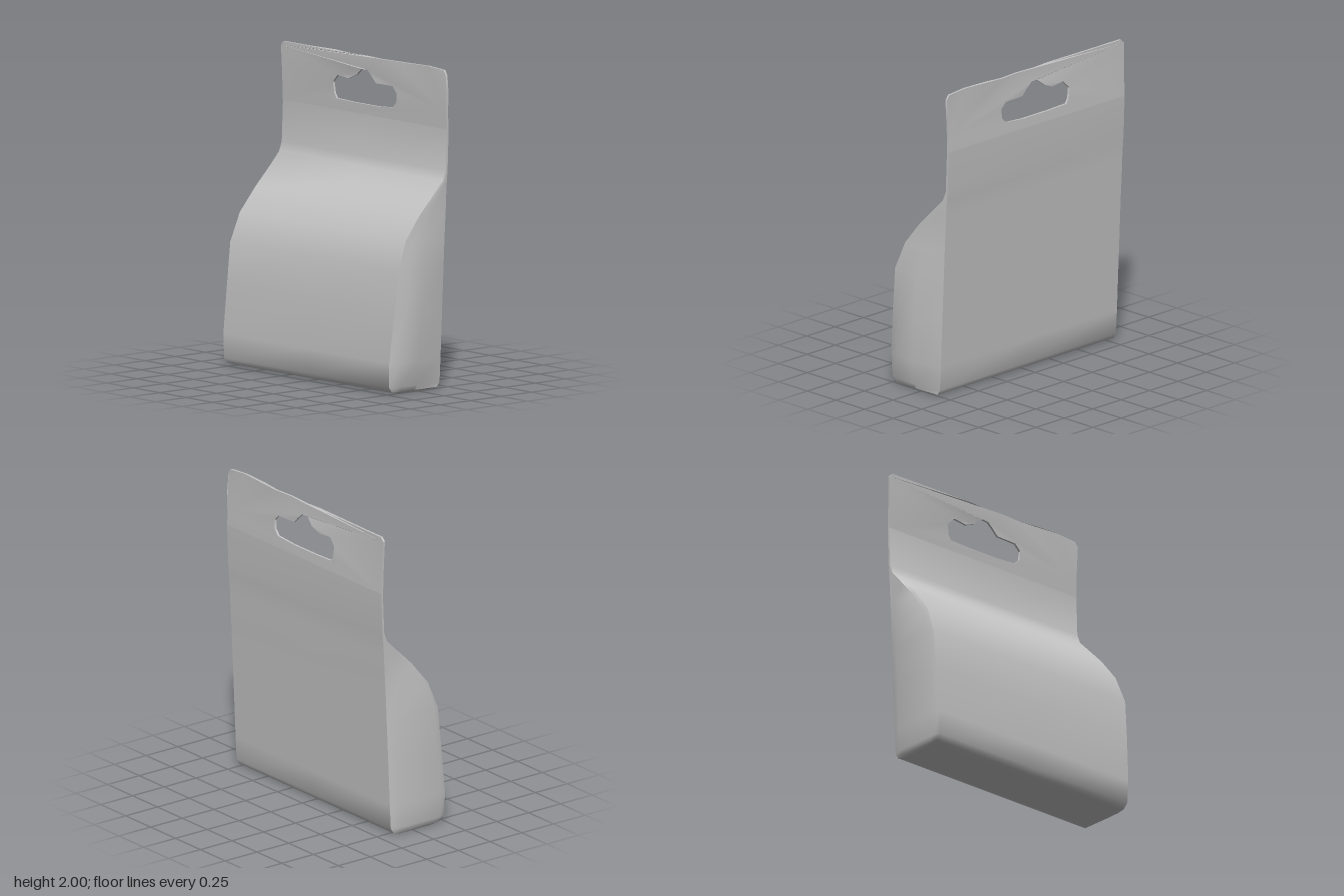
import * as THREE from 'three';
import { mergeVertices, toCreasedNormals } from 'three/addons/utils/BufferGeometryUtils.js';

const foil = new THREE.MeshStandardMaterial({ color: 0xc4c4c4, side: THREE.DoubleSide });
foil.name = 'silver grey foil';

// Filled pouch: a slab at the bottom that tapers into a flat sheet.
// Each level: y, back z, front z, left-hand x, right-hand x, right front corner x
const levels = [
  [0.00, -0.10, 0.17, -0.79, 0.74, 0.72],
  [0.012, -0.15, 0.215, -0.80, 0.765, 0.755],
  [0.045, -0.172, 0.243, -0.808, 0.778, 0.76],
  [0.20, -0.18, 0.247, -0.81, 0.80, 0.765],
  [0.50, -0.193, 0.218, -0.81, 0.803, 0.78],
  [0.77, -0.205, 0.19, -0.81, 0.80, 0.79],
  [0.95, -0.213, 0.12, -0.80, 0.778, 0.772],
  [1.10, -0.222, 0.00, -0.79, 0.767, 0.765],
  [1.20, -0.226, -0.10, -0.79, 0.765, 0.763],
  [1.30, -0.232, -0.20, -0.79, 0.762, 0.761],
  [1.36, -0.238, -0.223, -0.79, 0.76, 0.76],
  [1.62, -0.247, -0.233, -0.79, 0.76, 0.76],
];

function pouchGeometry() {
  const position = [], index = [];
  for (const [y, back, front, xl, xr, corner] of levels) {
    const z = t => back + (front - back) * t;
    const ring = [
      [Math.max(xl, -0.79), back], [0, back], [Math.min(xr, 0.76), back],
      [xr, z(0.5)], [xr, z(0.82)],
      [corner, front], [0, front], [xl + 0.01, front],
      [xl, z(0.9)], [xl, z(0.15)],
    ];
    for (const [x, zz] of ring) position.push(x, y, zz);
  }
  const n = 10;
  for (let k = 0; k < levels.length - 1; k++) {
    for (let i = 0; i < n; i++) {
      const a = k * n + i, b = k * n + (i + 1) % n;
      index.push(a, a + n, b, b, a + n, b + n);
    }
  }
  // Base
  const centre = position.length / 3;
  position.push(0, 0, 0.03);
  for (let i = 0; i < n; i++) index.push(centre, i, (i + 1) % n);
  const g = new THREE.BufferGeometry();
  g.setAttribute('position', new THREE.Float32BufferAttribute(position, 3));
  g.setIndex(index);
  return toCreasedNormals(g, 0.75);
}

// Flat header sheet with a hanging slot and a crumpled upper edge
function headerGeometry() {
  const toPoints = list => list.map(([x, y]) => new THREE.Vector2(x, y));
  const shape = new THREE.Shape(toPoints([
    [-0.79, 1.62], [0, 1.62], [0.76, 1.62], [0.757, 1.72], [0.762, 1.84], [0.762, 1.96], [0.74, 1.99],
    [0.6, 2.0], [0.42, 1.995], [0.28, 1.99], [0.14, 1.99], [0, 1.99], [-0.14, 1.99],
    [-0.3, 1.993], [-0.55, 1.99], [-0.77, 1.99], [-0.795, 1.965], [-0.79, 1.8],
  ]));
  shape.holes.push(new THREE.Path(toPoints([
    [-0.28, 1.69], [-0.12, 1.685], [0.1, 1.685], [0.25, 1.695], [0.285, 1.73], [0.29, 1.79], [0.25, 1.83],
    [0.1, 1.83], [0.06, 1.87], [0.02, 1.905], [-0.03, 1.905], [-0.09, 1.86],
    [-0.16, 1.83], [-0.26, 1.84], [-0.31, 1.79], [-0.3, 1.72],
  ])));
  let g = new THREE.ExtrudeGeometry(shape, { depth: 0.014, bevelEnabled: false });
  g.deleteAttribute('normal');
  g.deleteAttribute('uv');
  const p = g.attributes.position;
  for (let i = 0; i < p.count; i++) {
    const x = p.getX(i), y = p.getY(i);
    const t = (y - 1.62) / 0.38;
    const crumple = y > 1.8 && x > -0.4 ? 0.006 * Math.sin(x * 23 + y * 31) : 0;
    p.setZ(i, p.getZ(i) - 0.247 + 0.012 * t + crumple);
  }
  g = mergeVertices(g);
  return toCreasedNormals(g, 0.75);
}

export function createModel() {
  const group = new THREE.Group();
  group.name = 'hangingPouch';
  const pouch = new THREE.Mesh(pouchGeometry(), foil);
  pouch.name = 'filledPouch';
  const header = new THREE.Mesh(headerGeometry(), foil);
  header.name = 'headerWithHangSlot';
  group.add(pouch, header);
  return group;
}
